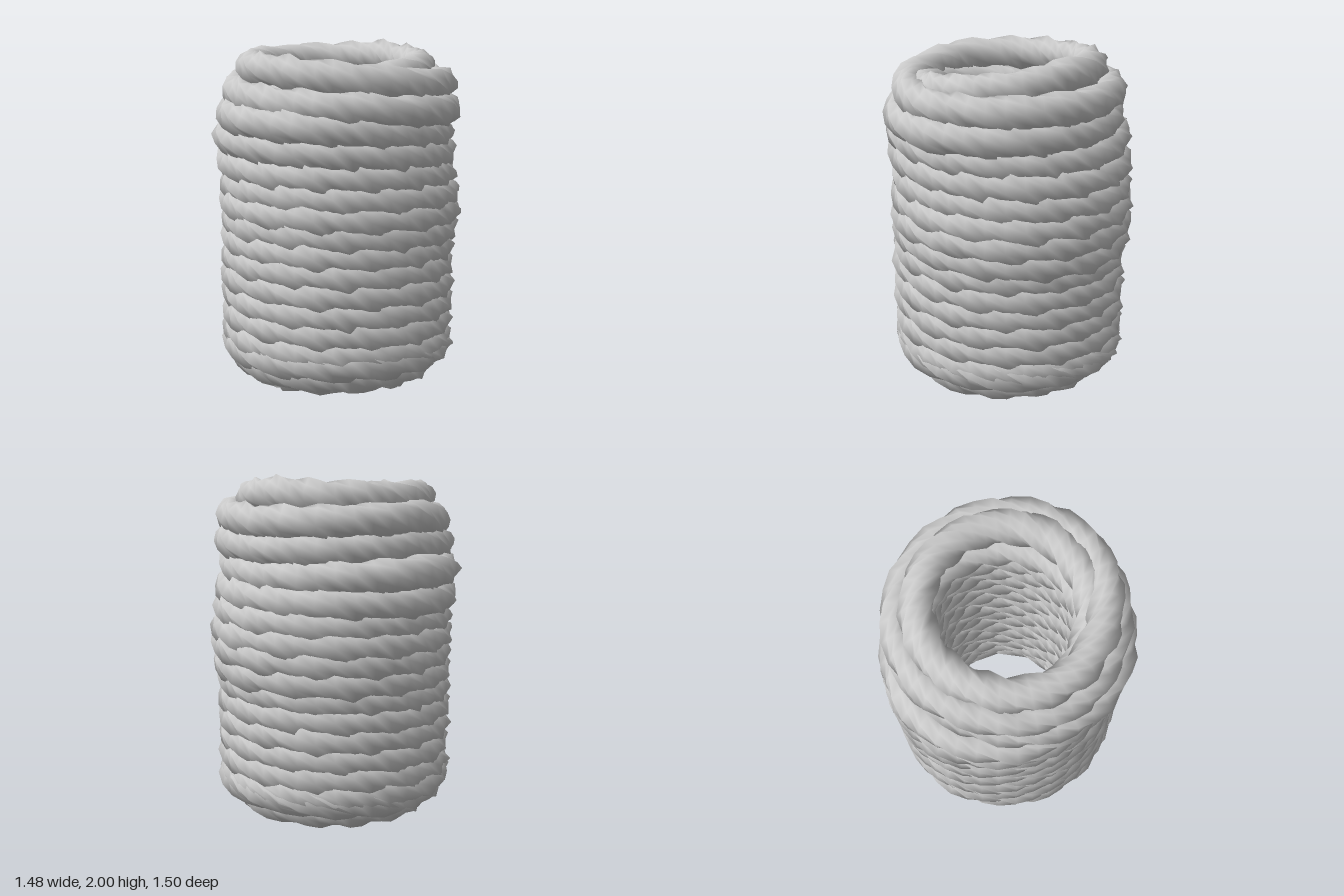
import * as THREE from 'three';

// Rope path as [turn, coil radius, height]; whole turns lie on the right-hand (-x) side,
// +0.25 is the front, +0.5 is +x and +0.75 is the back.
const PATH = [
  // inner layer, climbing
  [-16, 0.48, 0.11], [-15, 0.48, 0.14], [-9, 0.47, 0.76], [-8.75, 0.47, 0.78], [-8.5, 0.48, 0.81],
  [-8.25, 0.445, 0.83], [-8, 0.45, 0.86], [-7.75, 0.47, 0.88], [-7, 0.47, 0.96],
  [-0.2, 0.47, 1.66], [0, 0.47, 1.71],
  // loose loop on top
  [0.25, 0.49, 1.82], [0.5, 0.46, 1.9], [0.75, 0.475, 1.87], [1, 0.52, 1.84],
  // slack turns of the outer layer
  [1.25, 0.61, 1.76], [1.5, 0.58, 1.75], [1.75, 0.58, 1.77], [2, 0.59, 1.67],
  [2.25, 0.65, 1.62], [2.5, 0.57, 1.6], [2.75, 0.57, 1.62], [3, 0.65, 1.56],
  [3.25, 0.6, 1.49], [3.5, 0.57, 1.45], [3.75, 0.66, 1.47], [4, 0.61, 1.42],
  [4.25, 0.6, 1.37], [4.5, 0.61, 1.33], [4.75, 0.65, 1.31], [5, 0.59, 1.28],
  [5.25, 0.6, 1.25], [5.5, 0.63, 1.21], [6, 0.59, 1.16], [6.5, 0.64, 1.1], [7, 0.6, 1.05],
  [7.5, 0.64, 1.0], [8, 0.59, 0.95], [8.5, 0.63, 0.89], [9, 0.595, 0.84], [9.5, 0.6, 0.79],
  // tight turns down to the tucked-in end
  [14.5, 0.595, 0.23], [15.5, 0.595, 0.21], [16, 0.55, 0.15], [16.3, 0.5, 0.12], [17, 0.48, 0.105],
];

const ROPE_RADIUS = 0.095;
const SIDES = 10;
const STEPS_PER_TURN = 40;
const TWISTS_PER_TURN = 2.7;

// Coil radius and height at a given turn, eased between the path points
function coilAt(turn) {
  let k = 0;
  while (k < PATH.length - 2 && turn > PATH[k + 1][0]) k++;
  const [t0, r0, y0] = PATH[k];
  const [t1, r1, y1] = PATH[k + 1];
  const f = (turn - t0) / (t1 - t0);
  const ease = f * f * (3 - 2 * f);
  return { r: r0 + (r1 - r0) * ease, y: y0 + (y1 - y0) * f };
}

function seeded(seed) {
  return () => {
    seed = (seed * 16807) % 2147483647;
    return seed / 2147483647;
  };
}

// Twisted, ridged rope swept along the coil
function ropeGeometry() {
  const rand = seeded(41);
  const start = PATH[0][0];
  const end = PATH[PATH.length - 1][0];
  const steps = Math.round((end - start) * STEPS_PER_TURN);
  const positions = [];
  const index = [];
  for (let i = 0; i <= steps; i++) {
    const turn = start + ((end - start) * i) / steps;
    const theta = (turn - 0.25) * Math.PI * 2;
    const { r, y } = coilAt(turn);
    for (let j = 0; j < SIDES; j++) {
      const a = (j / SIDES - turn * TWISTS_PER_TURN) * Math.PI * 2;
      const ridge = j % 2 ? 0.89 : 1.08;
      const rad = ROPE_RADIUS * (ridge + (rand() - 0.5) * 0.16);
      const out = r + rad * Math.cos(a);
      // the whole coil leans a little towards the front
      positions.push(out * Math.sin(theta), y + rad * Math.sin(a), out * Math.cos(theta) + 0.01);
      if (i < steps) {
        const p = i * SIDES + j;
        const q = i * SIDES + ((j + 1) % SIDES);
        index.push(p, p + SIDES, q, q, p + SIDES, q + SIDES);
      }
    }
  }
  // end caps
  for (let j = 1; j < SIDES - 1; j++) {
    const e = steps * SIDES;
    index.push(0, j, j + 1, e, e + j + 1, e + j);
  }
  const geometry = new THREE.BufferGeometry();
  geometry.setAttribute('position', new THREE.Float32BufferAttribute(positions, 3));
  geometry.setIndex(index);
  geometry.computeVertexNormals();
  return geometry;
}

export function createModel() {
  const group = new THREE.Group();
  group.name = 'ropeCoil';
  const material = new THREE.MeshStandardMaterial({ color: 0xcccccc, side: THREE.DoubleSide });
  const rope = new THREE.Mesh(ropeGeometry(), material);
  rope.name = 'rope';
  group.add(rope);
  return group;
}
